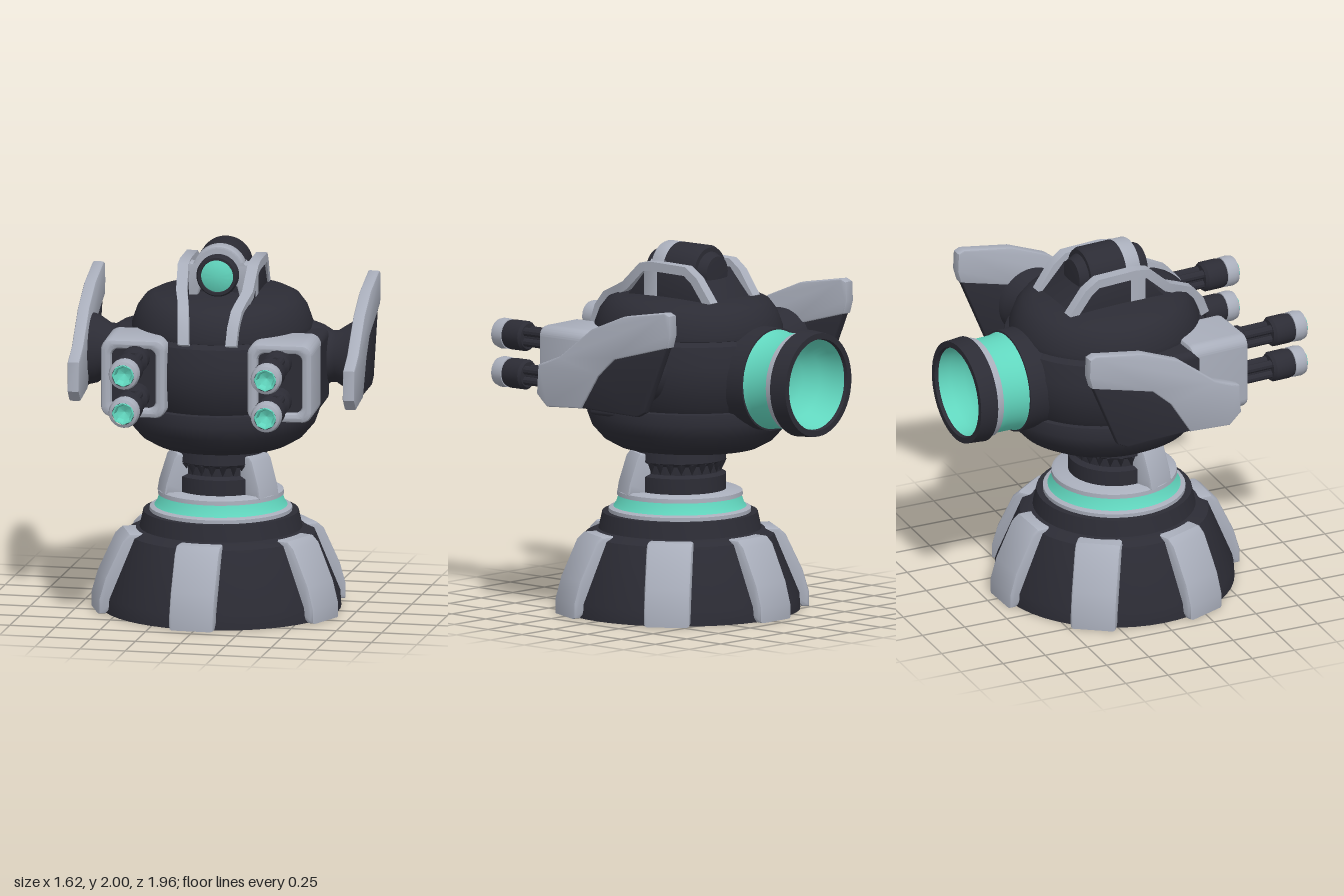
import * as THREE from 'three';
import { toCreasedNormals } from 'three/addons/utils/BufferGeometryUtils.js';
import { RoundedBoxGeometry } from 'three/addons/geometries/RoundedBoxGeometry.js';

export function createModel() {
  const dark = new THREE.MeshStandardMaterial({ name: 'charcoal', color: 0x2c2c35 });
  const grey = new THREE.MeshStandardMaterial({ name: 'lightGrey', color: 0xa9aebb });
  const teal = new THREE.MeshStandardMaterial({ name: 'teal', color: 0x61d6be });
  const model = new THREE.Group();
  model.name = 'turret';
  const head = new THREE.Group();
  head.name = 'head';
  head.rotation.y = 0.065;
  model.add(head);

  const add = (parent, name, geo, mat, x = 0, y = 0, z = 0) => {
    const m = new THREE.Mesh(geo, mat);
    m.name = name;
    m.position.set(x, y, z);
    parent.add(m);
    return m;
  };
  // Turned part; tilt turns its axis from y to +z (1) or -z (-1)
  const lathe = (pts, tilt = 0, seg = 48) => {
    const g = new THREE.LatheGeometry(pts.map(p => new THREE.Vector2(...p)), seg);
    return toCreasedNormals(g.rotateX(tilt * Math.PI / 2), 0.6);
  };
  // Bevelled slab from an outline, centred on its own depth
  const slab = (pts, depth, bevel = 0.012, hole) => {
    const s = pts instanceof THREE.Shape ? pts : new THREE.Shape(pts.map(p => new THREE.Vector2(...p)));
    if (hole) s.holes.push(hole);
    const g = new THREE.ExtrudeGeometry(s, {
      depth: depth - 2 * bevel, bevelEnabled: bevel > 0, bevelSize: bevel, bevelThickness: bevel,
      bevelOffset: -bevel, bevelSegments: 2, curveSegments: 16,
    });
    return toCreasedNormals(g.translate(0, 0, bevel - depth / 2), 0.6);
  };
  const roundRect = (w, h, r, Type = THREE.Shape) => {
    const s = new Type();
    s.absarc(w - r, h - r, r, 0, Math.PI / 2);
    s.absarc(r - w, h - r, r, Math.PI / 2, Math.PI);
    s.absarc(r - w, r - h, r, Math.PI, Math.PI * 1.5);
    s.absarc(w - r, r - h, r, Math.PI * 1.5, Math.PI * 2);
    return s;
  };
  // Rectangular strip swept along points lying in planes of nearly constant x
  const strip = (path, w, h) => {
    const pos = [], idx = [];
    path.forEach((p, i) => {
      const a = path[Math.max(i - 1, 0)], b = path[Math.min(i + 1, path.length - 1)];
      const len = Math.hypot(b[1] - a[1], b[2] - a[2]);
      const ny = -(b[2] - a[2]) / len, nz = (b[1] - a[1]) / len;
      for (const [u, v] of [[-1, -1], [1, -1], [1, 1], [-1, 1]])
        pos.push(p[0] + u * w / 2, p[1] + v * ny * h / 2, p[2] + v * nz * h / 2);
      if (i) for (let k = 0; k < 4; k++) {
        const c = (i - 1) * 4 + k, d = (i - 1) * 4 + (k + 1) % 4;
        idx.push(c, d + 4, d, c, c + 4, d + 4);
      }
    });
    const n = pos.length / 3;
    idx.push(0, 1, 2, 0, 2, 3, n - 4, n - 2, n - 3, n - 4, n - 1, n - 2);
    const g = new THREE.BufferGeometry();
    g.setAttribute('position', new THREE.Float32BufferAttribute(pos, 3));
    g.setIndex(idx);
    return toCreasedNormals(g, 0.6);
  };

  // Pedestal with buttress ribs
  add(model, 'pedestal', lathe([[0, 0], [0.65, 0], [0.645, 0.08], [0.51, 0.41], [0.45, 0.44],
    [0.44, 0.44], [0.42, 0.53], [0, 0.53]]), dark);
  const ribShape = [[0.4, 0.03], [0.62, 0.03], [0.65, 0], [0.69, 0], [0.69, 0.08], [0.655, 0.2],
    [0.56, 0.4], [0.52, 0.435], [0.4, 0.435]];
  for (const deg of [-1, 68, 127, 182, -124, -68]) {
    const rib = add(model, 'pedestalRib', slab(ribShape, 0.25, 0.018), grey);
    rib.rotation.y = THREE.MathUtils.degToRad(deg - 90);
  }

  // Collar rings and neck
  add(model, 'lowerCollar', lathe([[0, 0.52], [0.385, 0.53], [0.385, 0.55], [0.36, 0.56], [0, 0.56]]), grey);
  add(model, 'glowRing', lathe([[0.365, 0.553], [0.345, 0.58], [0.33, 0.626]]), teal);
  add(model, 'upperCollar', lathe([[0.3, 0.62], [0.34, 0.622], [0.338, 0.645], [0.32, 0.655], [0, 0.655]]), grey);
  add(model, 'neck', lathe([[0.25, 0.64], [0.25, 0.74], [0.22, 0.755], [0.22, 0.8], [0.25, 0.82],
    [0.24, 0.92]]), dark);
  for (let i = 0; i < 24; i++) {
    const a = i / 24 * Math.PI * 2;
    const t = add(model, 'neckTooth', new THREE.ConeGeometry(0.028, 0.06, 4), dark,
      Math.sin(a) * 0.225, 0.785, Math.cos(a) * 0.225);
    t.rotation.set(Math.PI, a, 0);
  }
  for (const s of [-1, 1]) {
    const strut = add(model, 'neckStrut', slab([[0.19, 0.64], [0.335, 0.64], [0.325, 0.7], [0.28, 0.84],
      [0.26, 0.865], [0.19, 0.865]], 0.17), grey);
    strut.rotation.y = s * 1.12 - Math.PI / 2;
  }

  // Head hull: bowl, middle drum and domed lid
  const hull = (name, pts) => add(head, name, lathe(pts, 0, 64), dark, 0, 0, -0.06).scale.z = 1.07;
  hull('lowerBowl', [[0, 0.9], [0.37, 0.9], [0.44, 0.94], [0.5, 1.01], [0.525, 1.08], [0.51, 1.14], [0.46, 1.15]]);
  hull('middleDrum', [[0.47, 1.12], [0.51, 1.18], [0.54, 1.3], [0.54, 1.4], [0.51, 1.51], [0.45, 1.55]]);
  hull('domeLid', [[0.44, 1.52], [0.488, 1.535], [0.488, 1.56], [0.46, 1.64], [0.42, 1.695], [0.37, 1.72], [0, 1.74]]);

  // Rear thruster
  const thruster = new THREE.Group();
  thruster.name = 'thruster';
  thruster.position.y = 1.315;
  head.add(thruster);
  add(thruster, 'thrusterRoot', lathe([[0.28, 0.4], [0.28, 0.66], [0.2, 0.67]], -1), dark);
  add(thruster, 'thrusterSleeve', lathe([[0.272, 0.655], [0.262, 0.69], [0.26, 0.78], [0.268, 0.83]], -1), teal);
  add(thruster, 'thrusterBand', lathe([[0.24, 0.815], [0.272, 0.82], [0.28, 0.87], [0.26, 0.87]], -1), grey);
  add(thruster, 'thrusterRim', lathe([[0.26, 0.86], [0.29, 0.865], [0.282, 0.965], [0.25, 0.965], [0.245, 0.945]], -1), dark);
  add(thruster, 'thrusterBowl', lathe([[0.249, 0.955], [0.235, 0.88], [0.2, 0.81], [0.13, 0.75], [0, 0.72]], -1), teal);

  // Top housing with its sensor eye
  add(head, 'topHousing', slab([[-0.02, 1.6], [-0.02, 1.86], [0.22, 1.865], [0.36, 1.72], [0.36, 1.6]], 0.34), dark)
    .rotation.y = Math.PI / 2;
  const arch = new THREE.Shape([[-0.205, 1.7], [-0.12, 1.7], [-0.1, 1.78], [0.1, 1.78], [0.12, 1.7], [0.205, 1.7],
    [0.205, 1.87], [0.175, 1.905], [0.135, 1.905]].map(p => new THREE.Vector2(...p)));
  arch.absarc(0, 1.855, 0.145, 0.32, Math.PI - 0.32);
  arch.lineTo(-0.175, 1.905);
  arch.lineTo(-0.205, 1.87);
  add(head, 'sensorArch', slab(arch, 0.1), grey, 0, 0, 0.04);
  add(head, 'sensorBarrel', lathe([[0, -0.21], [0.135, -0.21], [0.145, -0.19], [0.145, 0.0], [0, 0.0]], 1), dark, 0, 1.855, 0);
  add(head, 'sensorCap', lathe([[0, -0.265], [0.09, -0.26], [0.115, -0.2]], 1), dark, 0, 1.855, 0);
  add(head, 'sensorRing', lathe([[0.113, 0.05], [0.114, 0.13], [0.104, 0.15], [0.09, 0.15], [0.087, 0.13]], 1), dark, 0, 1.845, 0);
  add(head, 'sensorLens', lathe([[0.092, 0.132], [0.06, 0.146], [0, 0.152]], 1), teal, 0, 1.845, 0);

  // Everything that comes in pairs
  const plateGrey = [[0.36, 1.23], [0.35, 1.39], [0.3, 1.41], [0.2, 1.45], [-0.02, 1.62], [-0.24, 1.71], [-0.53, 1.76],
    [-0.565, 1.745], [-0.57, 1.64], [-0.55, 1.57], [-0.18, 1.47], [-0.07, 1.37], [0.05, 1.18], [0.29, 1.165]];
  const plateDark = [[0.06, 1.18], [-0.05, 1.38], [-0.17, 1.485], [-0.55, 1.585], [-0.39, 1.2], [-0.33, 1.17]];
  const cheek = [[-0.25, 1.66], [-0.06, 1.88], [0.22, 1.88], [0.36, 1.69]];
  for (const s of [-1, 1]) {
    // Housing cheeks and the trim rails over the dome
    add(head, 'housingCheek', slab(cheek, 0.04, 0.005), dark, s * 0.182, 0, 0).rotation.y = Math.PI / 2;
    const rail = [[0.13, 1.53, 0.472], [0.135, 1.62, 0.437], [0.145, 1.69, 0.377], [0.16, 1.725, 0.3], [0.18, 1.765, 0.215],
      [0.19, 1.88, 0.09], [0.19, 1.89, 0.02], [0.19, 1.885, -0.21], [0.185, 1.84, -0.27], [0.18, 1.71, -0.365]];
    add(head, 'trimRail', strip(rail.map(p => [s * p[0], p[1], p[2]]), 0.06, 0.05), grey);

    // Side shield and its arm
    const arm = add(head, 'shieldArm', lathe([[0.2, 0.45], [0.17, 0.54], [0.14, 0.59], [0.14, 0.62], [0.185, 0.69],
      [0.195, 0.73], [0, 0.73]]), dark, 0, 1.37, -0.12);
    arm.rotation.z = -s * Math.PI / 2;
    for (const [name, pts, t, mat] of [['shieldTrim', plateGrey, 0.065, grey], ['shieldPanel', plateDark, 0.045, dark]]) {
      const g = slab(pts.map(p => [-p[0], p[1]]), t, 0.01);
      add(head, name, g, mat, s * 0.752, 0, 0).rotation.y = Math.PI / 2;
    }

    // Gun pod: open frame, recess floor and mount
    const pod = new THREE.Group();
    pod.name = 'gunPod';
    pod.position.set(s * 0.4, 1.345, 0);
    head.add(pod);
    add(pod, 'podFrame', slab(roundRect(0.178, 0.215, 0.06), 0.345, 0.025, roundRect(0.12, 0.163, 0.04, THREE.Path)), grey, 0, 0, 0.345);
    add(pod, 'podRecess', new THREE.BoxGeometry(0.27, 0.36, 0.3), dark, 0, 0, 0.33);
    add(pod, 'podMount', new RoundedBoxGeometry(0.28, 0.4, 0.34, 3, 0.04), dark, s * 0.04, -0.01, 0.07);
    add(pod, 'podHinge', new RoundedBoxGeometry(0.16, 0.08, 0.2, 2, 0.02), dark, s * 0.03, -0.21, 0.12);

    // Twin barrels
    for (const y of [-0.1, 0.11]) {
      const gun = new THREE.Group();
      gun.name = 'gun';
      gun.position.set(-s * 0.012, y, 0);
      pod.add(gun);
      add(gun, 'gunSocket', lathe([[0.075, 0.45], [0.075, 0.56], [0.05, 0.58], [0, 0.58]], 1, 16), dark);
      add(gun, 'barrelCore', lathe([[0.035, 0.5], [0.035, 0.76]], 1, 12), dark);
      for (let k = 0; k < 4; k++) {
        const a = Math.PI / 4 + k * Math.PI / 2;
        add(gun, 'barrelRod', lathe([[0.024, 0.5], [0.024, 0.76]], 1, 10), dark, Math.cos(a) * 0.04, Math.sin(a) * 0.04, 0);
      }
      add(gun, 'muzzleSleeve', lathe([[0, 0.735], [0.07, 0.735], [0.082, 0.75], [0.082, 0.84], [0.075, 0.87], [0.06, 0.875]], 1, 20), dark);
      add(gun, 'muzzleTip', lathe([[0.06, 0.862], [0.082, 0.866], [0.084, 0.91], [0.076, 0.937], [0.06, 0.945]], 1, 20), grey);
      add(gun, 'muzzleGlow', lathe([[0.062, 0.94], [0.058, 0.949], [0.05, 0.945], [0.04, 0.905], [0, 0.885]], 1, 8), teal);
    }
  }
  return model;
}
